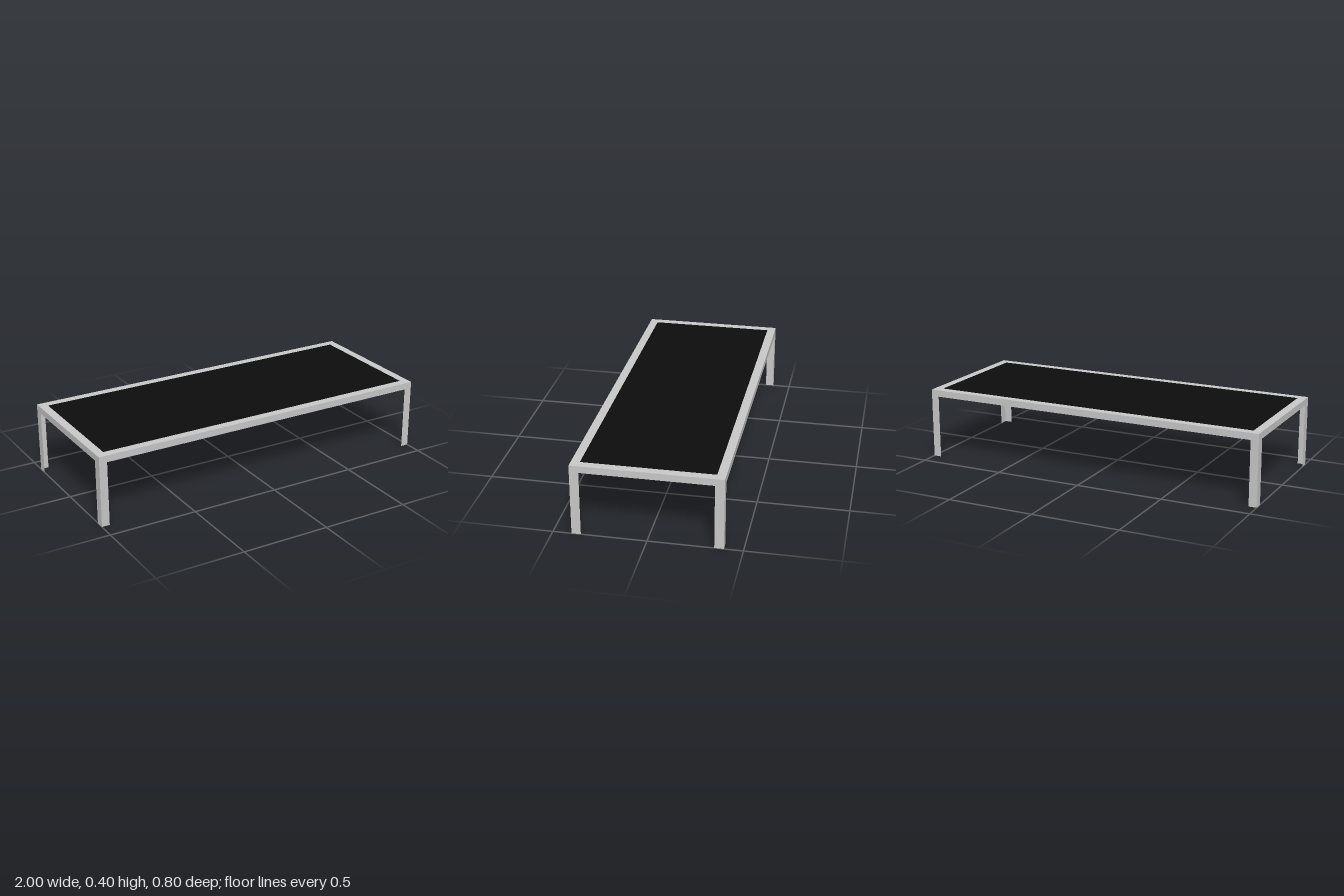
import * as THREE from 'three';

const W = 2, D = 0.8, H = 0.4;     // overall size
const APRON = 0.038, RIM = 0.047;  // apron height, top rim width

// Thin upright sheet: an apron with a leg strip at each end
function portalSheet(width, legWidth) {
  const a = width / 2, b = a - legWidth, y = H - APRON;
  const points = [[-a, 0], [-b, 0], [-b, y], [b, y], [b, 0], [a, 0], [a, H], [-a, H]];
  return new THREE.ShapeGeometry(new THREE.Shape(points.map(([px, py]) => new THREE.Vector2(px, py))));
}

function rectangle(PathType, w, d) {
  return new PathType([[-1, -1], [1, -1], [1, 1], [-1, 1]]
    .map(([sx, sy]) => new THREE.Vector2(sx * w / 2, sy * d / 2)));
}

export function createModel() {
  const model = new THREE.Group();
  model.name = 'lowTable';
  const metal = new THREE.MeshStandardMaterial({ color: 0xc8c8c8, side: THREE.DoubleSide });
  metal.name = 'light grey metal';
  const glass = new THREE.MeshStandardMaterial({ color: 0x0d0d0d, side: THREE.DoubleSide });
  glass.name = 'black glass';

  const add = (name, geometry, material) => {
    const mesh = new THREE.Mesh(geometry, material);
    mesh.name = name;
    model.add(mesh);
    return mesh;
  };

  // Four sheets meet at the corners, forming L-section legs and aprons
  [['front', 0], ['left', 1], ['back', 2], ['right', 3]].forEach(([side, i]) => {
    const long = i % 2 === 0;
    const geometry = portalSheet(long ? W : D, long ? 0.045 : 0.05);
    geometry.translate(0, 0, (long ? D : W) / 2);
    add(side + 'ApronAndLegs', geometry, metal).rotation.y = i * Math.PI / 2;
  });

  // Top rim around the opening
  const rim = rectangle(THREE.Shape, W, D);
  rim.holes.push(rectangle(THREE.Path, W - 2 * RIM, D - 2 * RIM));
  add('topRim', new THREE.ShapeGeometry(rim).rotateX(-Math.PI / 2).translate(0, H, 0), metal);

  // Tabletop panel, flush with the rim
  add('tabletopPanel', new THREE.PlaneGeometry(W - 2 * RIM, D - 2 * RIM)
    .rotateX(-Math.PI / 2).translate(0, H, 0), glass);

  return model;
}
